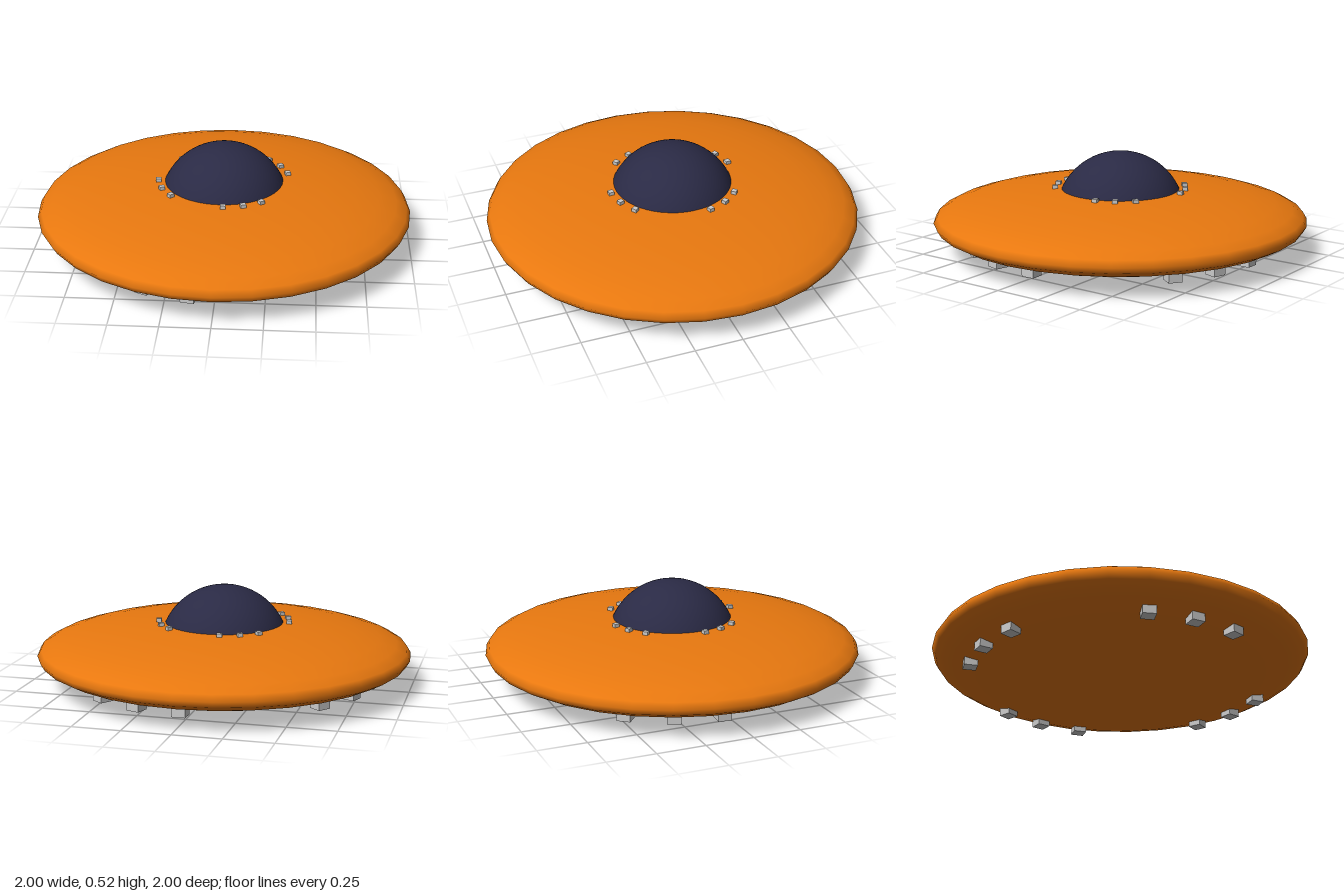
import * as THREE from 'three';

const STEP = 0.3; // angle between neighbouring boxes, in radians

// Four clusters of three cubes around the axis, with two steps skipped between clusters.
function boxRing(name, radius, y, size, startAngle, material) {
  const ring = new THREE.Group();
  ring.name = name + 's';
  const geometry = new THREE.BoxGeometry(size, size, size);
  for (let i = 0; i < 18; i++) {
    if (i % 5 > 2) continue;
    const a = startAngle + i * STEP;
    const box = new THREE.Mesh(geometry, material);
    box.name = name;
    box.position.set(radius * Math.cos(a), y, radius * Math.sin(a));
    box.rotation.y = -a; // faces outward
    ring.add(box);
  }
  return ring;
}

export function createModel() {
  const model = new THREE.Group();
  model.name = 'flyingSaucer';

  const orange = new THREE.MeshStandardMaterial({ color: 0xe8780f });
  const navy = new THREE.MeshStandardMaterial({ color: 0x2a2a45 });
  const grey = new THREE.MeshStandardMaterial({ color: 0xcccccc });

  // Flattened sphere hull
  const hull = new THREE.Mesh(new THREE.SphereGeometry(1, 32, 16), orange);
  hull.name = 'hull';
  hull.scale.y = 0.167;
  hull.position.y = 0.169;
  model.add(hull);

  // Cockpit dome, its lower edge sunk into the hull
  const dome = new THREE.Mesh(
    new THREE.SphereGeometry(0.35, 48, 16, 0, Math.PI * 2, 0, Math.PI * 0.4), navy);
  dome.name = 'cockpitDome';
  dome.position.y = 0.175;
  model.add(dome);

  // Small lights around the dome and larger blocks under the rim
  model.add(boxRing('domeLight', 0.35, 0.329, 0.028, 0.93, grey));
  model.add(boxRing('undersideBlock', 0.8, 0.07, 0.07, 1.728, grey));

  return model;
}
